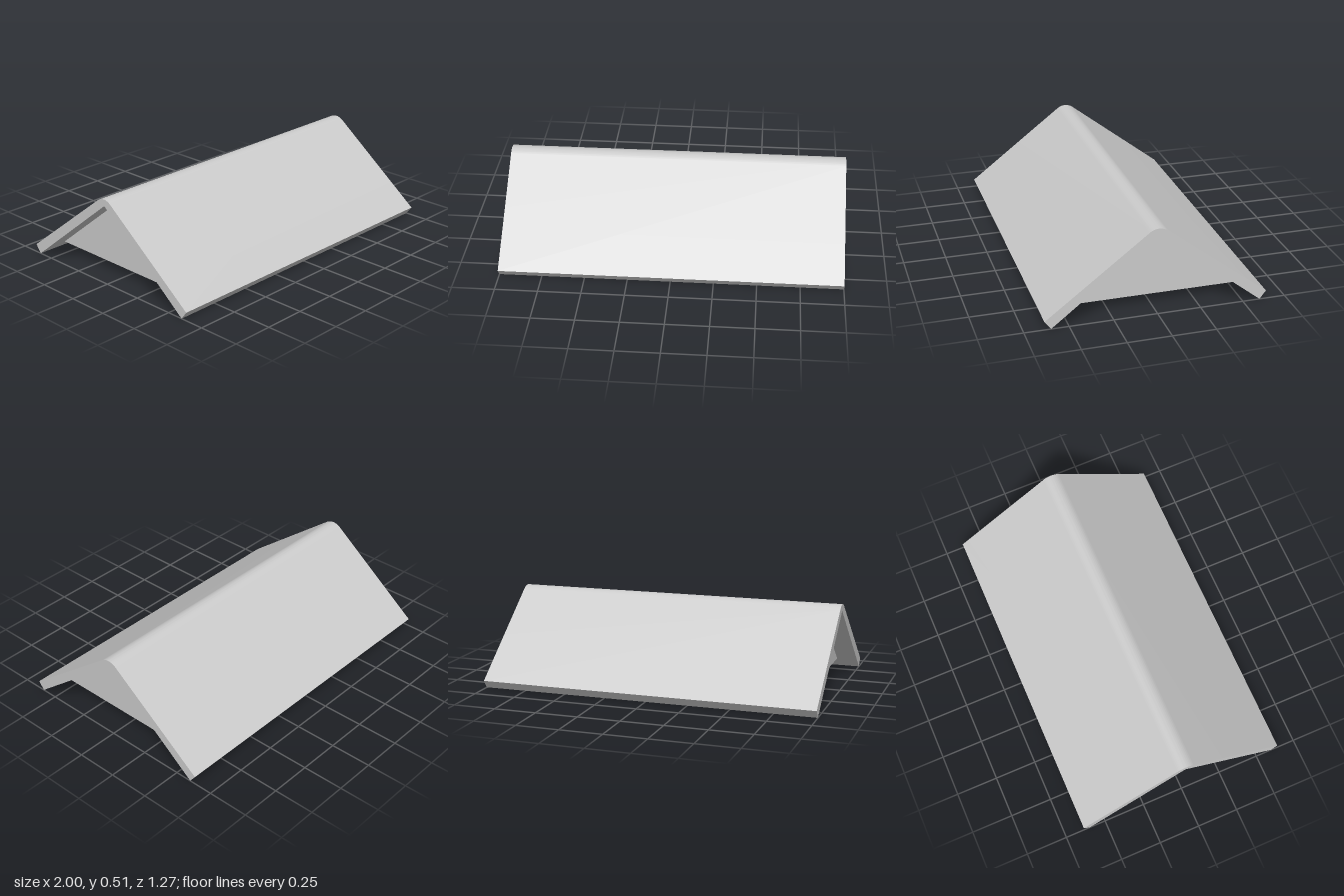
import * as THREE from 'three';
import { toCreasedNormals } from 'three/addons/utils/BufferGeometryUtils.js';

const LENGTH = 2;
const material = new THREE.MeshStandardMaterial({ color: 0xcccccc });

// Extrude a (-z, y) profile along x, centred on the given x
function extrudeAlongX(name, shape, width, x) {
  const geometry = new THREE.ExtrudeGeometry(shape, { depth: width, bevelEnabled: false, curveSegments: 10 });
  geometry.translate(0, 0, -width / 2).rotateY(Math.PI / 2);
  const mesh = new THREE.Mesh(toCreasedNormals(geometry, 0.5), material);
  mesh.name = name;
  mesh.position.x = x;
  return mesh;
}

export function createModel() {
  const group = new THREE.Group();
  group.name = 'gableRoof';

  // Roof: two sloping slabs joined by a rounded ridge
  const slope = Math.atan(0.768), radius = 0.084, top = 0.515;
  const roof = new THREE.Shape();
  roof.moveTo(-0.6, 0);
  roof.lineTo(0, 0.476);
  roof.lineTo(0.6, 0);
  roof.lineTo(0.636, 0.048);
  roof.absarc(0, top - radius, radius, Math.PI / 2 - slope, Math.PI / 2 + slope, false);
  roof.lineTo(-0.636, 0.048);
  roof.closePath();
  group.add(extrudeAlongX('roof', roof, LENGTH, 0));

  // Triangular gable walls, set in from both ends
  const gable = new THREE.Shape();
  gable.moveTo(-0.525, 0.06);
  gable.lineTo(0.525, 0.06);
  gable.lineTo(0, 0.476);
  gable.closePath();
  for (const side of [-1, 1]) {
    group.add(extrudeAlongX(side > 0 ? 'leftGable' : 'rightGable', gable, 0.06, side * 0.845));
  }
  return group;
}
